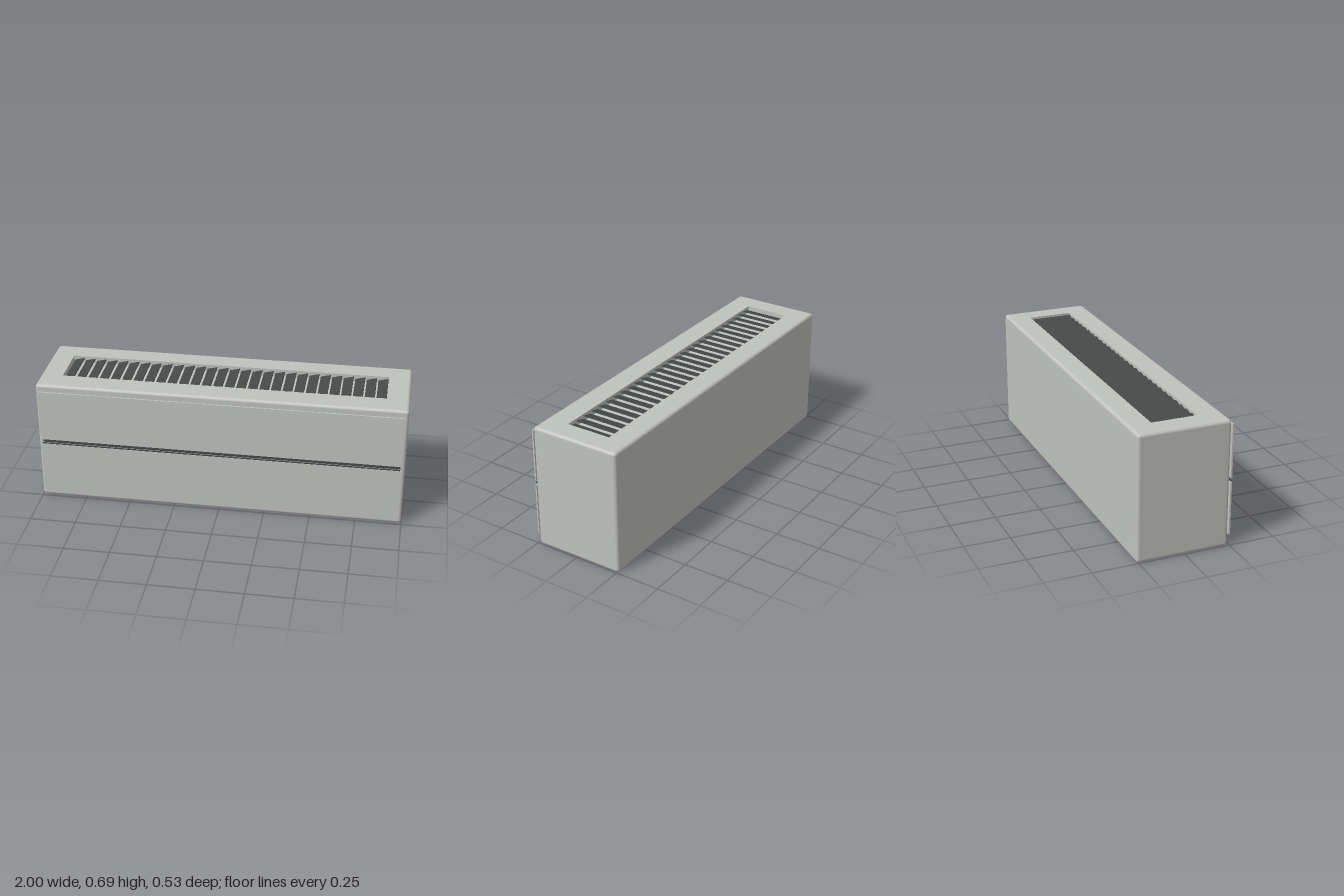
import * as THREE from 'three';
import { RoundedBoxGeometry } from 'three/addons/geometries/RoundedBoxGeometry.js';

const W = 2, H = 0.69, Z0 = -0.263, Z1 = 0.24, R = 0.017;
// Top outlet opening
const GX = 0.88, GZ0 = -0.14, GZ1 = 0.11, DEPTH = 0.04;

// Rounded casing without its flat top, which is replaced by a frame with an opening
function openCasing() {
  const geo = new RoundedBoxGeometry(W, H, Z1 - Z0, 4, R);
  const src = geo.index ? geo.toNonIndexed() : geo;
  const p = src.attributes.position, n = src.attributes.normal;
  const pos = [], nor = [];
  for (let i = 0; i < p.count; i += 3) {
    const ids = [i, i + 1, i + 2];
    if (ids.every((k) => p.getY(k) > H / 2 - 1e-5)) continue;
    for (const k of ids) {
      pos.push(p.getX(k), p.getY(k), p.getZ(k));
      nor.push(n.getX(k), n.getY(k), n.getZ(k));
    }
  }
  const out = new THREE.BufferGeometry();
  out.setAttribute('position', new THREE.Float32BufferAttribute(pos, 3));
  out.setAttribute('normal', new THREE.Float32BufferAttribute(nor, 3));
  return out;
}

function rectangle(path, x0, y0, x1, y1) {
  path.moveTo(x0, y0);
  path.lineTo(x1, y0);
  path.lineTo(x1, y1);
  path.lineTo(x0, y1);
  path.closePath();
  return path;
}

export function createModel() {
  const model = new THREE.Group();
  model.name = 'wallAirConditioner';

  const casingMat = new THREE.MeshStandardMaterial({ color: 0xc0c2be });
  casingMat.name = 'light grey';
  const darkMat = new THREE.MeshStandardMaterial({ color: 0x454a49 });
  darkMat.name = 'charcoal';

  function add(name, geo, mat, x = 0, y = 0, z = 0, parent = model) {
    const mesh = new THREE.Mesh(geo, mat);
    mesh.name = name;
    mesh.position.set(x, y, z);
    parent.add(mesh);
    return mesh;
  }
  const box = (w, h, d) => new THREE.BoxGeometry(w, h, d);

  // Casing and top frame
  const zMid = (Z0 + Z1) / 2;
  add('casing', openCasing(), casingMat, 0, H / 2, zMid);
  const frame = rectangle(new THREE.Shape(), -W / 2 + R, -Z1 + R, W / 2 - R, -Z0 - R);
  frame.holes.push(rectangle(new THREE.Path(), -GX, -GZ1, GX, -GZ0));
  add('topFrame', new THREE.ShapeGeometry(frame).rotateX(-Math.PI / 2), casingMat, 0, H, 0);

  // Outlet recess: floor and four inward walls
  const gMid = (GZ0 + GZ1) / 2, gLen = GZ1 - GZ0;
  const recess = new THREE.Group();
  recess.name = 'outletRecess';
  model.add(recess);
  add('recessFloor', new THREE.PlaneGeometry(2 * GX, gLen).rotateX(-Math.PI / 2),
    casingMat, 0, H - DEPTH, gMid, recess);
  for (const s of [-1, 1]) {
    add('recessEnd', new THREE.PlaneGeometry(gLen, DEPTH).rotateY(-s * Math.PI / 2),
      casingMat, s * GX, H - DEPTH / 2, gMid, recess);
    add('recessSide', new THREE.PlaneGeometry(2 * GX, DEPTH).rotateY(s > 0 ? Math.PI : 0),
      casingMat, 0, H - DEPTH / 2, gMid + s * gLen / 2, recess);
  }

  // Slightly tilted outlet louvres
  const louvres = new THREE.Group();
  louvres.name = 'outletLouvres';
  model.add(louvres);
  const count = 28, pitch = (2 * GX) / count;
  const slatGeo = box(0.055, 0.005, gLen);
  for (let i = 0; i < count; i++) {
    const slat = add('louvre', slatGeo, darkMat, -GX + (i + 0.5) * pitch, H - 0.02, gMid, louvres);
    slat.rotation.z = 0.25;
  }

  // Front panels, standing clear of the casing
  const panelGeo = box(1.965, 0.29, 0.008);
  add('lowerPanel', panelGeo, casingMat, 0, 0.195, 0.2575);
  add('upperPanel', panelGeo, casingMat, 0, 0.512, 0.2575);

  // Dark slot between the panels and its narrow trim
  add('slotBacking', box(1.95, 0.03, 0.002), darkMat, 0, 0.355, Z1);
  add('slotTrim', box(1.95, 0.007, 0.002), darkMat, 0, 0.346, 0.262);

  // Small display behind the lower panel
  add('display', box(0.05, 0.015, 0.004), darkMat, 0.8, 0.207, Z1 + 0.001);

  return model;
}
